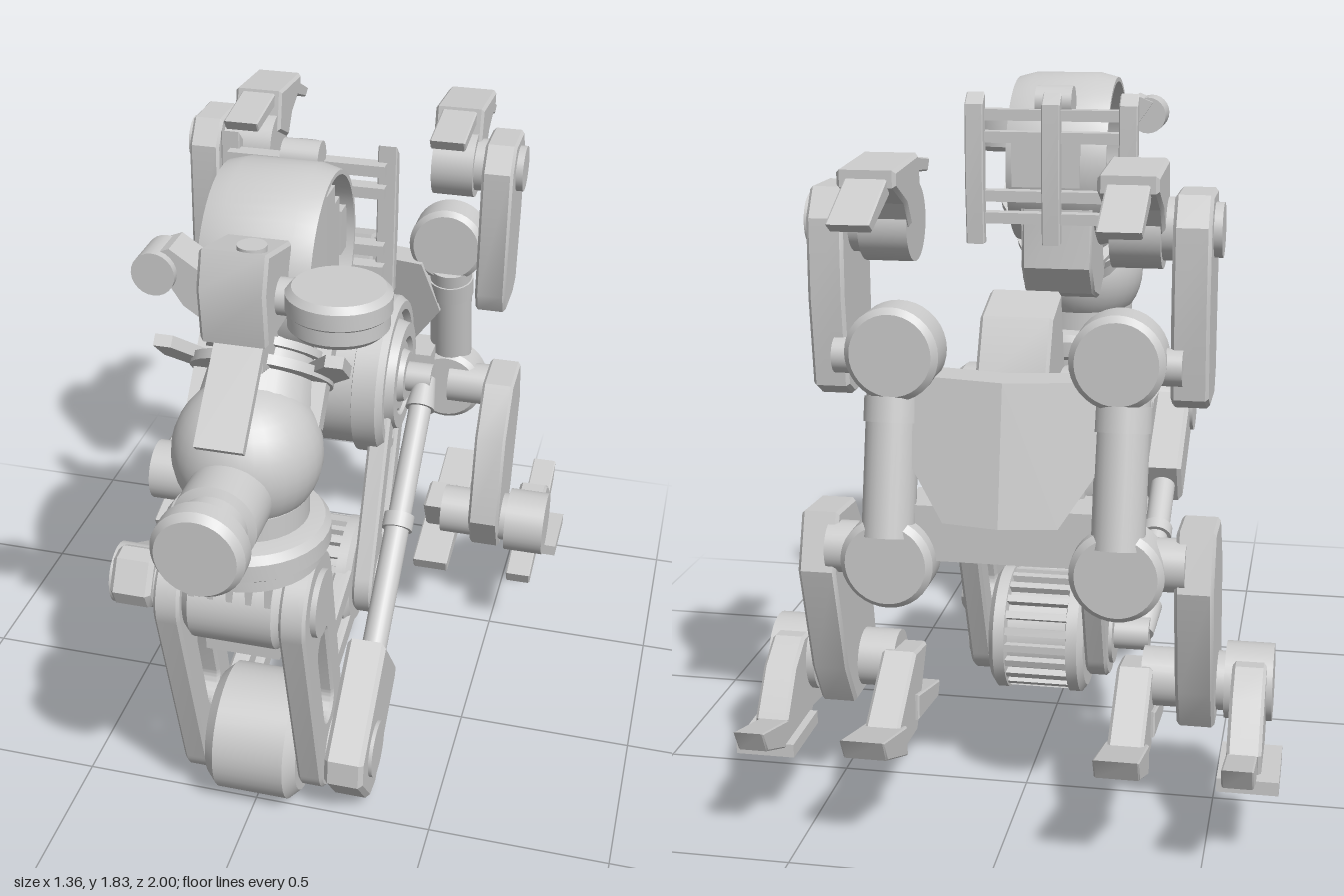
import * as THREE from 'three';
import { toCreasedNormals } from 'three/addons/utils/BufferGeometryUtils.js';

export function createModel() {
  const root = new THREE.Group();
  const mat = new THREE.MeshStandardMaterial({ color: 0xcccccc });
  const V = (x, y, z) => new THREE.Vector3(x, y, z);

  function add(name, geo) {
    const m = new THREE.Mesh(geo, mat);
    m.name = name;
    root.add(m);
    return m;
  }
  function box(name, x0, x1, y0, y1, z0, z1) {
    const m = add(name, new THREE.BoxGeometry(Math.abs(x1 - x0), y1 - y0, z1 - z0));
    m.position.set((x0 + x1) / 2, (y0 + y1) / 2, (z0 + z1) / 2);
    return m;
  }
  // Cylinder between two points
  function rod(name, a, b, r0, r1 = r0, seg = 24) {
    const d = b.clone().sub(a);
    const m = add(name, new THREE.CylinderGeometry(r1, r0, d.length(), seg));
    m.position.copy(a).addScaledVector(d, 0.5);
    m.quaternion.setFromUnitVectors(V(0, 1, 0), d.normalize());
    return m;
  }
  const discX = (name, x0, x1, y, z, r) => rod(name, V(x0, y, z), V(x1, y, z), r, r, 32);
  // Turned part: profile of [radius, height], axis given as a direction
  function turned(name, profile, pos, axis, seg = 36) {
    const geo = new THREE.LatheGeometry(profile.map(p => new THREE.Vector2(...p)), seg);
    const m = add(name, toCreasedNormals(geo, 0.5));
    m.position.copy(pos);
    m.quaternion.setFromUnitVectors(V(0, 1, 0), axis.clone().normalize());
    return m;
  }
  // Extrude a shape drawn in (z, y) across x
  function sideShape(name, shape, xa, xb, bevel = 0.008) {
    const x0 = Math.min(xa, xb), x1 = Math.max(xa, xb);
    const geo = new THREE.ExtrudeGeometry(shape, {
      depth: x1 - x0 - 2 * bevel, bevelEnabled: bevel > 0, bevelSize: bevel, bevelOffset: -bevel,
      bevelThickness: bevel, bevelSegments: 1, curveSegments: 14,
    });
    const m = add(name, toCreasedNormals(geo, 0.5));
    m.rotation.y = -Math.PI / 2;
    m.position.x = x1 - bevel;
    return m;
  }
  const poly = pts => new THREE.Shape(pts.map(p => new THREE.Vector2(...p)));
  const slab = (pts, depth) => new THREE.ExtrudeGeometry(poly(pts), { depth, bevelEnabled: false });
  // Tapered link with round ends and a slot, from a to b in (z, y)
  function link(name, a, b, ra, rb, x0, x1) {
    const dx = b[0] - a[0], dy = b[1] - a[1], L = Math.hypot(dx, dy);
    const t = Math.acos((ra - rb) / L), s = new THREE.Shape();
    s.absarc(0, 0, ra, t, 2 * Math.PI - t, false);
    s.absarc(L, 0, rb, -t, t, false);
    const w = Math.min(ra, rb) * 0.36, h = new THREE.Path();
    h.absarc(ra + w, 0, w, Math.PI / 2, Math.PI * 1.5, false);
    h.absarc(L - rb - w, 0, w, -Math.PI / 2, Math.PI / 2, false);
    s.holes.push(h);
    const m = sideShape(name, s, x0, x1);
    m.geometry.rotateZ(Math.atan2(dy, dx));
    m.position.y = a[1];
    m.position.z = a[0];
  }

  // Joint centres in (z, y)
  const knee = [0.41, 0.18], waist = [0.58, 0.78], low = [-0.21, 0.33], hip = [-0.45, 0.9];

  // Slotted link plates
  for (const s of [-1, 1]) {
    link('frontLink', waist, knee, 0.14, 0.13, s * 0.13, s * 0.2);
    link('lowerLink', knee, low, 0.11, 0.12, s * 0.08, s * 0.13);
    link('rearLink', low, hip, 0.12, 0.11, s * 0.13, s * 0.19);
    discX('waistCap', s * 0.19, s * 0.215, waist[1], waist[0], 0.09);
    discX('lowerCap', s * 0.18, s * 0.2, low[1], low[0], 0.085);
    discX('lowerHub', s * 0.18, s * 0.21, low[1], low[0], 0.045);
    discX('kneeCap', s * 0.19, s * 0.21, knee[1], knee[0], 0.09);
  }

  // Joint drums
  const drum = (name, [z, y], r, w) => turned(name,
    [[0, -w], [r - 0.03, -w], [r, -w + 0.03], [r, w - 0.03], [r - 0.03, w], [0, w]], V(0, y, z), V(1, 0, 0));
  drum('kneeDrum', knee, 0.18, 0.13);
  drum('waistDrum', waist, 0.135, 0.14);
  turned('lowerDrum', [[0, -0.13], [0.15, -0.13], [0.17, -0.115], [0.17, -0.085], [0.145, -0.08], [0.145, 0.08],
    [0.17, 0.085], [0.17, 0.115], [0.15, 0.13], [0, 0.13]], V(0, low[1], low[0]), V(1, 0, 0));
  for (let i = 0; i < 22; i++) {
    const a = i / 22 * Math.PI * 2;
    const rib = box('lowerRib', -0.09, 0.09, -0.01, 0.01, -0.014, 0.014);
    rib.position.set(0, low[1] + 0.15 * Math.sin(a), low[0] + 0.15 * Math.cos(a));
    rib.rotation.x = -a;
  }
  for (let x = -0.1; x < 0.13; x += 0.05) box('waistFin', x - 0.008, x + 0.008, 0.82, 0.93, 0.48, 0.705);
  box('waistBlock', -0.1, 0.1, 0.59, 0.7, 0.5, 0.6);

  // Hip wheel with stepped rings on both faces
  const half = [[0.24, 0.09], [0.24, 0.16], [0.225, 0.18], [0.2, 0.18], [0.19, 0.16], [0.17, 0.16], [0.16, 0.2],
    [0.12, 0.2], [0.11, 0.18], [0.085, 0.18], [0.075, 0.21], [0, 0.21]];
  turned('hipWheel', [...half.map(([r, h]) => [r, -h]).reverse(), [0.22, -0.085], [0.22, 0.085], ...half],
    V(0, hip[1], hip[0]), V(1, 0, 0), 44);
  sideShape('hipBlock', poly([[-0.42, 1.13], [-0.47, 1.34], [-0.6, 1.3], [-0.68, 1.14], [-0.7, 0.95], [-0.5, 0.95]]), -0.09, 0.09);

  // Two linear actuators: box, sleeve, collar, piston, end joint
  function actuator(name, x, a, b, len, width, back) {
    const A = V(x, a[1], a[0]), B = V(x, b[1], b[0]), L = A.distanceTo(B), w = width / 2;
    const at = t => A.clone().lerp(B, t / L);
    const m = sideShape(name + 'Box', poly([[-back, -w * 0.6], [-back * 0.6, -w], [len, -w],
      [len, w * 0.85], [len - 0.03, w], [-back * 0.6, w], [-back, w * 0.6]]), x - 0.055, x + 0.055, 0.012);
    m.geometry.rotateZ(Math.atan2(b[1] - a[1], b[0] - a[0]));
    m.position.y = a[1];
    m.position.z = a[0];
    discX(name + 'Pin', x - 0.065, x + 0.065, a[1], a[0], 0.08);
    rod(name + 'Sleeve', at(len - 0.02), at(L * 0.6), 0.036);
    rod(name + 'Collar', at(L * 0.57), at(L * 0.61), 0.045);
    rod(name + 'Piston', at(L * 0.6), at(L - 0.09), 0.034);
    rod(name + 'Neck', at(L - 0.1), at(L), 0.044, 0.03);
    discX(name + 'Joint', Math.sign(x) * 0.17, x + Math.sign(x) * 0.02, b[1], b[0], 0.045);
  }
  actuator('leftActuator', 0.265, knee, hip, 0.27, 0.27, 0.13);
  actuator('rightActuator', -0.275, waist, low, 0.35, 0.15, 0.1);

  // Turntable, torso ball and barrel
  const cx = 0.018;
  turned('turntable', [[0, 0], [0.19, 0], [0.19, 0.03], [0.21, 0.045], [0.21, 0.09], [0.195, 0.11], [0.15, 0.12], [0, 0.12]],
    V(cx, 0.92, 0.59), V(0, 1, 0));
  const ball = add('torsoBall', new THREE.SphereGeometry(0.188, 32, 20));
  ball.position.set(cx, 1.205, 0.58);
  rod('torsoBase', V(cx, 1.02, 0.585), V(cx, 1.1, 0.585), 0.155, 0.155, 32);
  turned('barrel', [[0, 0], [0.105, 0], [0.105, 0.12], [0.085, 0.13], [0.085, 0.19], [0.115, 0.2], [0.115, 0.245],
    [0.1, 0.265], [0, 0.265]], V(cx, 1.16, 0.735), V(0, 0, 1));

  // Neck, tilted collar with a chevron guard, sloping front plate
  const up = V(0, 0.37, -0.31).normalize(), ballC = V(cx, 1.19, 0.58);
  const neckAt = t => ballC.clone().addScaledVector(up, t);
  rod('neck', neckAt(0.1), neckAt(0.31), 0.15, 0.12);
  rod('collar', neckAt(0.2), neckAt(0.225), 0.18, 0.18, 32);
  rod('upperCollar', neckAt(0.255), neckAt(0.275), 0.15, 0.15, 32);
  const chevron = add('chevronGuard', slab([[-0.06, 0.22], [0.06, 0.22], [0.235, -0.07], [0.235, -0.17], [0.19, -0.17],
    [0.11, -0.02], [-0.11, -0.02], [-0.19, -0.17], [-0.235, -0.17], [-0.235, -0.07]], 0.03));
  chevron.position.copy(neckAt(0.21));
  chevron.quaternion.setFromUnitVectors(V(0, 0, -1), up.clone().negate());
  for (const s of [-1, 1]) {
    const strut = box('collarStrut', -0.02, 0.02, -0.12, 0.12, -0.025, 0.025);
    strut.position.copy(neckAt(0.21)).add(V(s * 0.15, 0, 0));
    strut.quaternion.setFromUnitVectors(V(0, 1, 0), up);
  }
  const post = box('frontPlate', -0.06, 0.06, -0.15, 0.15, -0.012, 0.012);
  post.position.set(cx, 1.44, 0.7);
  post.rotation.x = -0.76;
  sideShape('headStem', poly([[0.62, 1.44], [0.48, 1.4], [0.46, 1.56], [0.62, 1.56]]), -0.03, 0.07);

  // Hollow ring with the rear cup
  turned('headRing', [[0.22, -0.14], [0.232, -0.14], [0.245, -0.09], [0.245, 0.09], [0.232, 0.14], [0.22, 0.14], [0.22, -0.14]],
    V(0.01, 1.58, 0.26), V(1, 0, 0), 48);
  const cup = new THREE.Shape();
  cup.absarc(0.26, 1.58, 0.235, Math.PI * 1.13, Math.PI * 1.5, false);
  cup.lineTo(0.3, 1.24);
  cup.lineTo(0.2, 1.19);
  cup.lineTo(0.1, 1.22);
  cup.lineTo(0.04, 1.3);
  sideShape('rearCup', cup, -0.09, 0.11);

  // Fittings inside the ring and the rail pack behind it
  box('ringColumn', 0.02, 0.13, 1.41, 1.75, 0.17, 0.25);
  box('ringShelf', 0.02, 0.13, 1.43, 1.7, 0.12, 0.17);
  box('ringFoot', 0.02, 0.13, 1.4, 1.44, 0.25, 0.33);
  box('ringBlock', -0.06, 0.13, 1.53, 1.65, 0.01, 0.1);
  for (const y of [1.45, 1.51, 1.67, 1.73]) box('backRail', -0.2, 0.22, y - 0.015, y + 0.015, -0.035, 0.01);
  discX('railKnob', -0.04, 0.06, 1.76, 0.03, 0.045);
  for (const x of [-0.2, 0.01, 0.22]) {
    sideShape('backPlate', poly([[-0.02, 1.38], [-0.05, 1.38], [-0.06, 1.56], [-0.055, 1.76], [-0.02, 1.79], [-0.02, 1.56]]),
      x - 0.025, x + 0.025, 0.003);
  }

  // Head block with side disc and knob
  sideShape('headBlock', poly([[0.5, 1.54], [0.67, 1.54], [0.69, 1.68], [0.66, 1.77], [0.58, 1.75], [0.46, 1.72]]), -0.065, 0.1);
  discX('headDiscArm', 0.08, 0.2, 1.63, 0.57, 0.045);
  turned('headDisc', [[0, 0], [0.105, 0], [0.12, 0.015], [0.12, 0.05], [0.125, 0.055], [0.125, 0.095], [0.11, 0.11], [0, 0.11]],
    V(0.245, 1.57, 0.585), V(0, 1, 0));
  rod('headKnob', V(-0.185, 1.68, 0.53), V(-0.185, 1.68, 0.64), 0.053);
  add('knobBracket', slab([[-0.2, 1.72], [-0.15, 1.74], [-0.06, 1.68], [-0.06, 1.56], [-0.12, 1.6]], 0.1)).position.z = 0.52;
  rod('headCap', V(0.05, 1.74, 0.62), V(0.05, 1.775, 0.62), 0.035);

  // Rear frame panel: two leaning halves meeting at a ridge
  for (const s of [-1, 1]) {
    const geo = slab([[0, 1.18], [0.2, 1.18], [0.26, 1.02], [0.14, 0.84], [0, 0.84]].map(([x, y]) => [s * x, y]), 0.1);
    const p = geo.attributes.position;
    for (let i = 0; i < p.count; i++) {
      p.setZ(i, p.getZ(i) - 0.85 + 0.18 * Math.abs(p.getX(i)) + 0.2 * (p.getY(i) - 0.84));
    }
    geo.computeVertexNormals();
    add('rearFrame', geo);
  }
  box('lowerFrame', -0.24, 0.24, 0.73, 0.87, -0.79, -0.65);

  // Four rear limbs, mirrored left and right
  const toeSets = {
    upper: [[[-0.43, 1.66], [-0.64, 1.69], [-0.64, 1.65], [-0.45, 1.63]], [[-0.82, 1.67], [-1, 1.58], [-0.97, 1.56], [-0.82, 1.62]]],
    lower: [[[-0.43, 0.25], [-0.66, 0.31], [-0.66, 0.24], [-0.45, 0.21]], [[-0.78, 0.28], [-1, 0.34], [-0.97, 0.28], [-0.78, 0.2]]],
  };
  for (const s of [-1, 1]) {
    const button = [[0, 0], [0.1, 0], [0.115, 0.015], [0.115, 0.105], [0.1, 0.12], [0, 0.12]];
    turned('shoulderDisc', button, V(s * 0.27, 1.235, -0.785), V(0, 0, 1));
    turned('hipDisc', button, V(s * 0.28, 0.73, -0.84), V(0, 0, 1));
    rod('frameTube', V(s * 0.28, 0.79, -0.8), V(s * 0.28, 1.16, -0.71), 0.065);
    rod('frameTubeBand', V(s * 0.28, 1.06, -0.735), V(s * 0.28, 1.12, -0.72), 0.07);

    // Upper arm and claw
    discX('shoulderAxle', s * 0.27, s * 0.42, 1.22, -0.72, 0.045);
    sideShape('upperArm', poly([[-0.53, 1.11], [-0.5, 1.17], [-0.5, 1.55], [-0.55, 1.62], [-0.69, 1.62], [-0.735, 1.55],
      [-0.74, 1.36], [-0.72, 1.14], [-0.67, 1.11]]), s * 0.39, s * 0.48);
    discX('clawAxle', s * 0.24, s * 0.42, 1.53, -0.62, 0.075);
    discX('clawDisc', s * 0.24, s * 0.36, 1.53, -0.62, 0.095);
    discX('clawPin', s * 0.46, s * 0.5, 1.53, -0.62, 0.065);
    sideShape('clawPalm', poly([[-0.6, 1.58], [-0.62, 1.695], [-0.84, 1.68], [-0.84, 1.64], [-0.74, 1.59], [-0.7, 1.53]]), s * 0.23, s * 0.37);
    for (const t of toeSets.upper) sideShape('clawToe', poly(t), s * 0.25, s * 0.35, 0.004);

    // Lower leg and foot
    discX('legAxle', s * 0.29, s * 0.44, 0.74, -0.75, 0.065);
    sideShape('lowerLeg', poly([[-0.61, 0.82], [-0.76, 0.83], [-0.81, 0.69], [-0.73, 0.4], [-0.66, 0.28], [-0.53, 0.28],
      [-0.46, 0.4], [-0.51, 0.68]]), s * 0.415, s * 0.51);
    discX('ankleAxle', s * 0.32, s * 0.6, 0.37, -0.57, 0.075);
    discX('ankleDisc', s * 0.53, s * 0.65, 0.37, -0.56, 0.098);
    sideShape('footShell', poly([[-0.48, 0.36], [-0.52, 0.44], [-0.66, 0.45], [-0.74, 0.4], [-0.82, 0.29], [-0.8, 0.21], [-0.64, 0.2]]),
      s * 0.55, s * 0.635);
    sideShape('innerFoot', poly([[-0.52, 0.4], [-0.64, 0.42], [-0.82, 0.29], [-0.8, 0.21], [-0.64, 0.2]]), s * 0.26, s * 0.35);
    box('footSole', s * 0.53, s * 0.68, 0.2, 0.235, -0.84, -0.64);
    for (const [x0, x1] of [[0.55, 0.625], [0.25, 0.36]])
      for (const t of toeSets.lower) sideShape('footToe', poly(t), s * x0, s * x1, 0.004);
  }
  return root;
}
